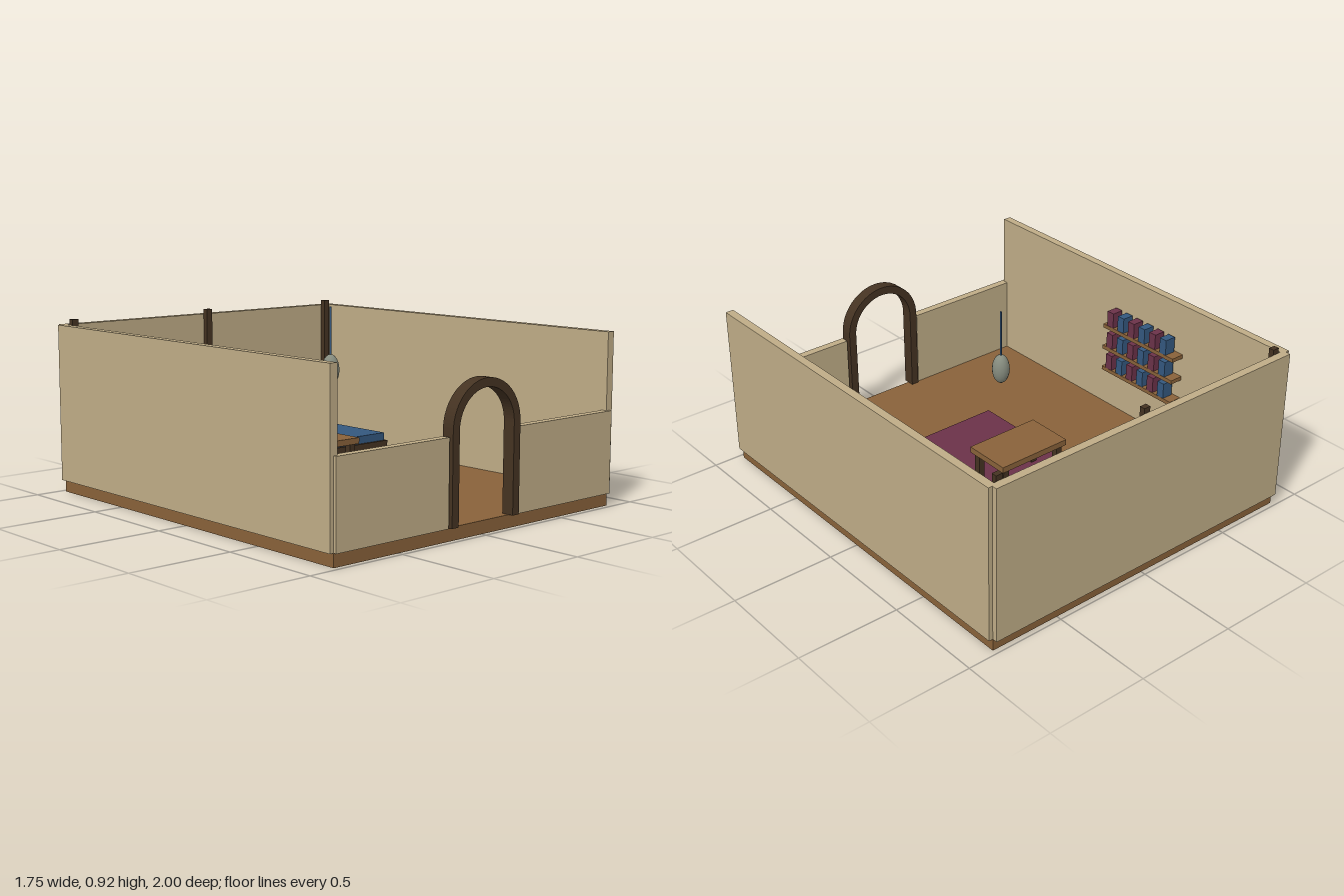
import * as THREE from 'three';

const mat = (name, color) => {
  const m = new THREE.MeshStandardMaterial({ color });
  m.name = name;
  return m;
};

export function createModel() {
  const plaster = mat('plaster', 0xc0ad87);
  const wood = mat('wood', 0x89623a);
  const darkWood = mat('dark wood', 0x453322);
  const blue = mat('blue cloth', 0x34587f);
  const plum = mat('plum cloth', 0x6b3249);
  const stone = mat('grey stone', 0x868c7f);

  const room = new THREE.Group();
  room.name = 'room';

  const add = (parent, name, geometry, material) => {
    const mesh = new THREE.Mesh(geometry, material);
    mesh.name = name;
    parent.add(mesh);
    return mesh;
  };
  // Box given by its lower and upper corners
  const box = (parent, name, material, [x0, y0, z0], [x1, y1, z1]) => {
    const mesh = add(parent, name, new THREE.BoxGeometry(x1 - x0, y1 - y0, z1 - z0), material);
    mesh.position.set((x0 + x1) / 2, (y0 + y1) / 2, (z0 + z1) / 2);
    return mesh;
  };
  const group = (name) => {
    const g = new THREE.Group();
    g.name = name;
    room.add(g);
    return g;
  };
  // Round-topped frame standing on local y = 0
  const archFrame = (parent, name, radius, width, spring, depth) => {
    const inner = radius - width;
    const shape = new THREE.Shape();
    shape.moveTo(radius, 0);
    shape.lineTo(radius, spring);
    shape.absarc(0, spring, radius, 0, Math.PI, false);
    shape.lineTo(-radius, 0);
    shape.lineTo(-inner, 0);
    shape.lineTo(-inner, spring);
    shape.absarc(0, spring, inner, Math.PI, 0, true);
    shape.lineTo(inner, 0);
    const geometry = new THREE.ExtrudeGeometry(shape, { depth, bevelEnabled: false, curveSegments: 20 });
    return add(parent, name, geometry, darkWood);
  };

  // Shell: floor slab, tall back and side walls, low front walls
  const F = 0.06;
  box(room, 'floor', wood, [-0.855, 0, -0.975], [0.855, F, 0.975]);
  box(room, 'backWall', plaster, [-0.855, F, -1], [0.855, 0.815, -0.96]);
  for (const s of [-1, 1]) {
    const side = s < 0 ? 'right' : 'left';
    const span = (a, b) => (s < 0 ? [-b, -a] : [a, b]);
    const [a, b] = span(0.835, 0.875);
    box(room, side + 'Wall', plaster, [a, F, -0.975], [b, 0.815, 0.975]);
    const [c, d] = span(0.22, 0.855);
    box(room, side + 'FrontWall', plaster, [c, F, 0.95], [d, 0.45, 0.99]);
  }

  // Posts on the back wall
  for (const x of [-0.805, 0, 0.805]) {
    box(room, 'wallPost', darkWood, [x - 0.017, F, -0.959], [x + 0.017, 0.84, -0.932]);
  }

  // Entrance arch
  archFrame(room, 'doorArch', 0.21, 0.04, 0.413, 0.06).position.set(0, F, 0.94);

  // Rug
  box(room, 'rug', plum, [-0.305, F, -0.09], [0.305, 0.066, 0.465]);

  // Table
  const table = group('table');
  box(table, 'tableTop', wood, [-0.195, 0.24, -0.25], [0.195, 0.27, -0.01]);
  for (const x of [-0.163, 0.163]) {
    for (const z of [-0.22, -0.04]) {
      box(table, 'tableLeg', darkWood, [x - 0.016, F, z - 0.016], [x + 0.016, 0.24, z + 0.016]);
    }
  }

  // Hanging lamp
  const lamp = group('hangingLamp');
  const shade = add(lamp, 'lampShade', new THREE.SphereGeometry(0.042, 16, 12), stone);
  shade.scale.y = 1.75;
  shade.position.y = 0.618;
  const cord = add(lamp, 'lampCord', new THREE.CylinderGeometry(0.005, 0.005, 0.235, 8), blue);
  cord.position.y = 0.7975;

  // Fireplace
  const fireplace = group('fireplace');
  box(fireplace, 'chimneyBlock', stone, [-0.765, F, -0.81], [-0.405, 0.45, -0.57]);
  box(fireplace, 'firebox', stone, [-0.665, F, -0.57], [-0.505, 0.25, -0.561]);
  archFrame(fireplace, 'fireplaceArch', 0.14, 0.032, 0.19, 0.035).position.set(-0.585, F, -0.57);

  // Bed
  const bed = group('bed');
  box(bed, 'bedFrame', darkWood, [0.355, F, -0.885], [0.715, 0.15, -0.355]);
  box(bed, 'mattress', blue, [0.367, 0.15, -0.868], [0.703, 0.19, -0.367]);
  box(bed, 'pillow', plaster, [0.402, 0.19, -0.825], [0.67, 0.22, -0.72]);

  // Bookshelves with alternating books
  const shelves = group('bookshelves');
  for (let row = 0; row < 3; row++) {
    const y = 0.315 + row * 0.12;
    box(shelves, 'shelf', wood, [-0.835, y - 0.02, -0.37], [-0.765, y, 0.115]);
    for (let i = 0; i < 6; i++) {
      const z = -0.3 + i * 0.0735;
      box(shelves, 'book', i % 2 ? plum : blue, [-0.825, y, z - 0.021], [-0.766, y + 0.08, z + 0.021]);
    }
  }

  return room;
}
